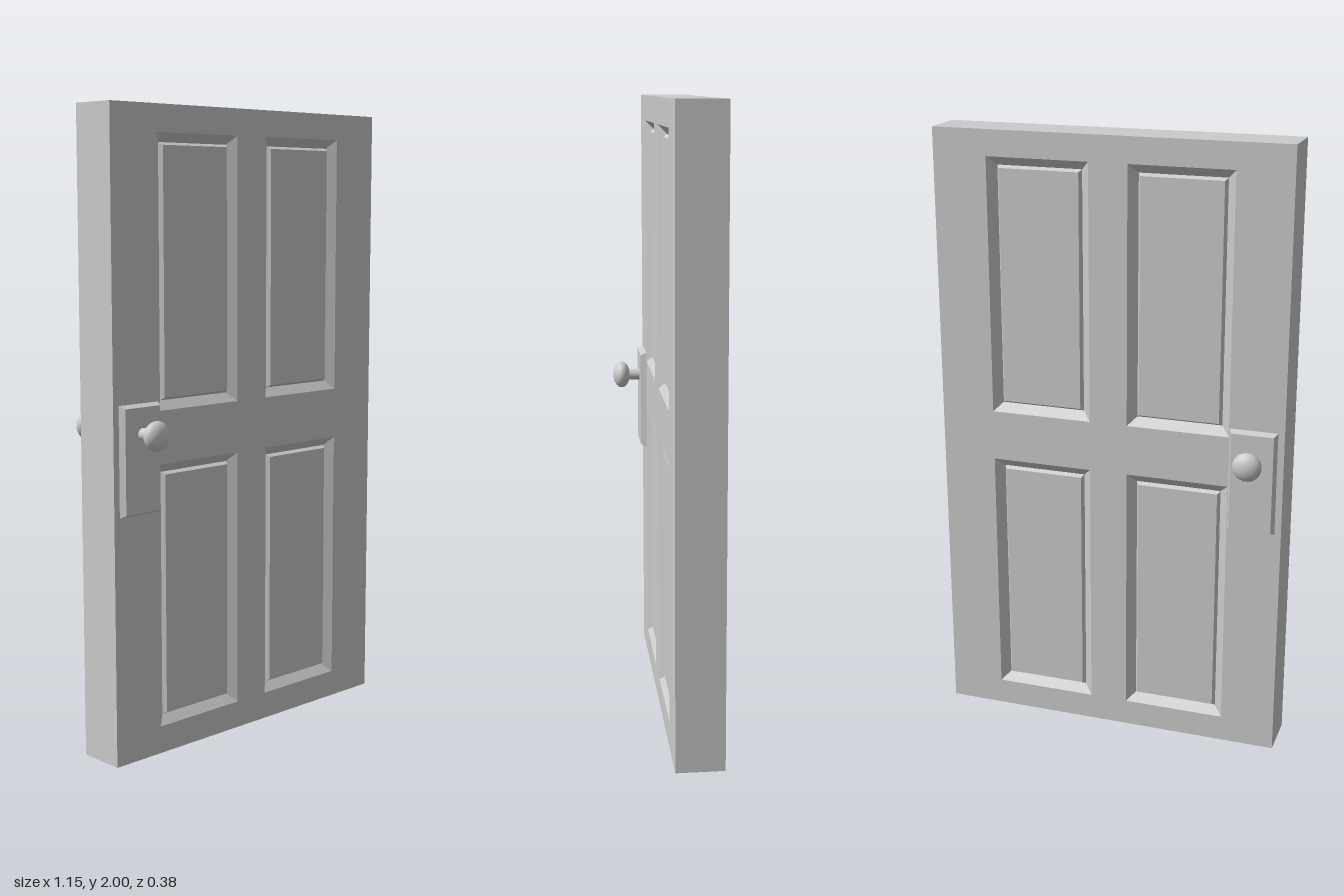
import * as THREE from 'three';

const W = 0.575, H = 2, HALF = 0.077;
const PANELS = [[0.0625, 0.087], [-0.3975, 0.087], [0.0625, 1.085], [-0.3975, 1.085]];
const PW = 0.335, PH = 0.832;

const material = () => new THREE.MeshStandardMaterial({ color: 0xcccccc });

function add(parent, name, geometry, mat = material()) {
  const mesh = new THREE.Mesh(geometry, mat);
  mesh.name = name;
  parent.add(mesh);
  return mesh;
}

// Rectangular steps facing +z: each ring is [inset, z]; the last one is capped.
function steppedRect(x, y, w, h, rings) {
  const loops = rings.map(([i, z]) => [
    [x + i, y + i, z], [x + w - i, y + i, z], [x + w - i, y + h - i, z], [x + i, y + h - i, z],
  ]);
  const pos = [];
  const quad = (a, b, c, d) => pos.push(...a, ...b, ...c, ...a, ...c, ...d);
  for (let k = 0; k < loops.length - 1; k++) {
    const [a, b] = [loops[k], loops[k + 1]];
    for (let i = 0; i < 4; i++) {
      const j = (i + 1) % 4;
      quad(a[i], a[j], b[j], b[i]);
    }
  }
  quad(...loops[loops.length - 1]);
  const g = new THREE.BufferGeometry();
  g.setAttribute('position', new THREE.Float32BufferAttribute(pos, 3));
  g.computeVertexNormals();
  return g;
}

function rectPath(path, x, y, w, h) {
  path.moveTo(x, y);
  path.lineTo(x + w, y);
  path.lineTo(x + w, y + h);
  path.lineTo(x, y + h);
  path.closePath();
  return path;
}

// Everything on one face of the door; handleX is in that face's own frame.
function doorFace(name, handleX) {
  const face = new THREE.Group();
  face.name = name;

  // Sunken mouldings with a slightly raised field
  for (const [x, y] of PANELS) {
    add(face, 'panel', steppedRect(x, y, PW, PH,
      [[0, HALF], [0.028, HALF - 0.025], [0.036, HALF - 0.012]]));
  }

  // Bevelled lock plate
  add(face, 'lockPlate', steppedRect(handleX - 0.077, 0.775, 0.154, 0.34,
    [[0, HALF], [0.009, HALF + 0.02]]));

  // Stem and flattened round knob
  const handle = new THREE.Group();
  handle.name = 'handle';
  handle.position.set(handleX, 1.025, 0);
  const stem = add(handle, 'knobStem', new THREE.CylinderGeometry(0.019, 0.019, 0.07, 24, 1, true));
  stem.rotation.x = Math.PI / 2;
  stem.position.z = 0.115;
  const ball = new THREE.SphereGeometry(0.046, 32, 20);
  ball.rotateX(Math.PI / 2);
  ball.scale(1, 1, 0.64);
  add(handle, 'knob', ball).position.z = 0.16;
  face.add(handle);
  return face;
}

export function createModel() {
  const door = new THREE.Group();
  door.name = 'door';

  // Slab with four panel openings
  const shape = rectPath(new THREE.Shape(), -W, 0, 2 * W, H);
  for (const [x, y] of PANELS) shape.holes.push(rectPath(new THREE.Path(), x, y, PW, PH));
  const slab = new THREE.ExtrudeGeometry(shape, { depth: 2 * HALF, bevelEnabled: false });
  slab.translate(0, 0, -HALF);
  add(door, 'frame', slab);

  // Same fittings on both faces, handle on the right edge
  door.add(doorFace('frontFace', -0.477));
  const back = doorFace('backFace', 0.477);
  back.rotation.y = Math.PI;
  door.add(back);
  return door;
}
